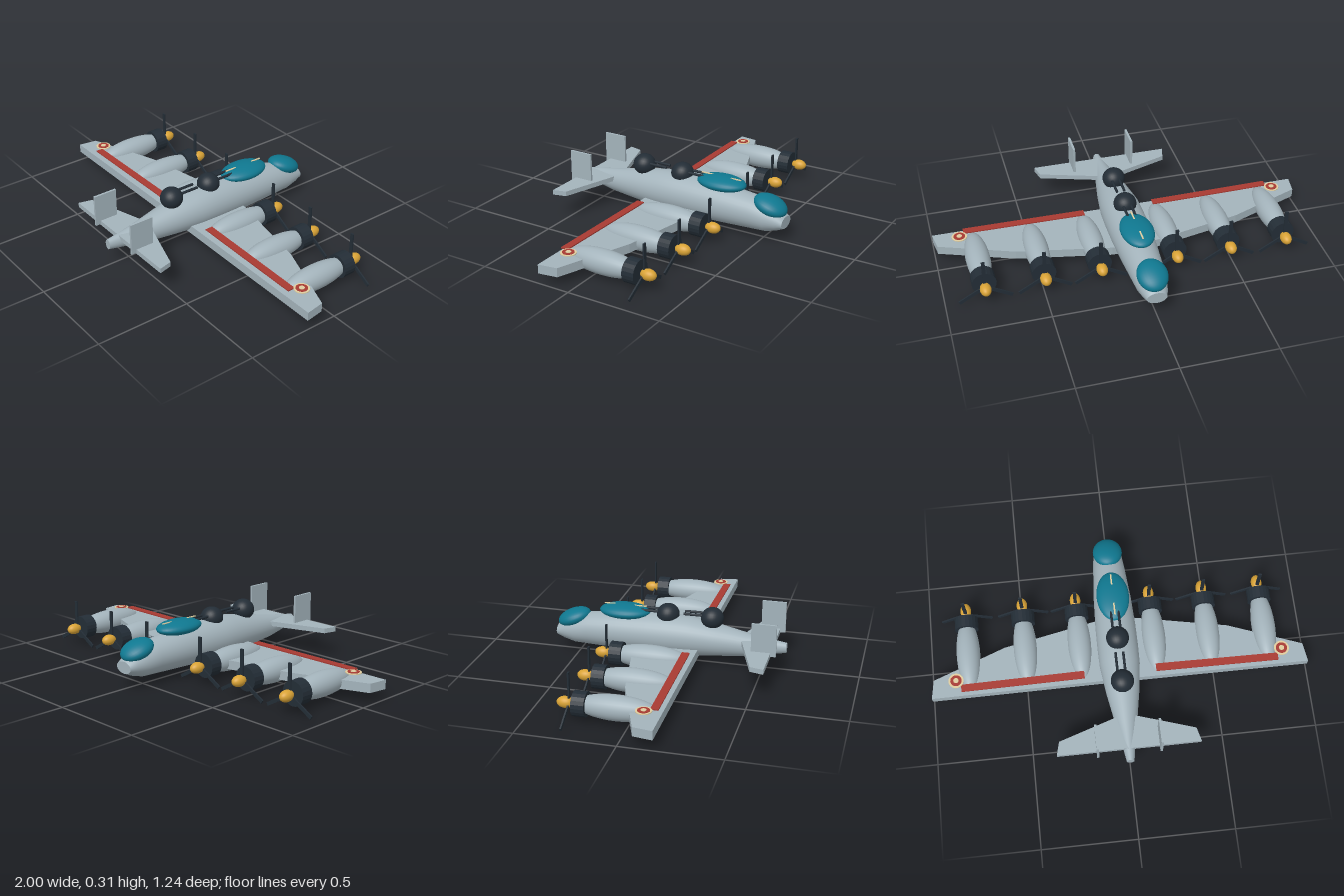
import * as THREE from 'three';

const mat = (name, color, extra = {}) => {
  const m = new THREE.MeshStandardMaterial({ color, ...extra });
  m.name = name;
  return m;
};

export function createModel() {
  const model = new THREE.Group();
  model.name = 'aircraft';
  const grey = mat('pale grey', 0xa3b3bb);
  const dark = mat('dark metal', 0x232d36);
  const darkFlat = dark;
  const teal = mat('teal glass', 0x0f7890);
  const red = mat('red paint', 0xa83a32);
  const gold = mat('gold spinner', 0xd9a336);
  const cream = mat('cream paint', 0xdfcda0);

  const add = (name, geo, material, x = 0, y = 0, z = 0, parent = model) => {
    const mesh = new THREE.Mesh(geo, material);
    mesh.name = name;
    mesh.position.set(x, y, z);
    parent.add(mesh);
    return mesh;
  };
  const ellipsoid = (rx, ry, rz) => new THREE.SphereGeometry(1, 28, 18).rotateX(Math.PI / 2).scale(rx, ry, rz);
  const box = (w, h, d) => new THREE.BoxGeometry(w, h, d);

  // Flat slab from an [x, z] outline, rising from y = 0
  const slab = (pts, height) => {
    const shape = new THREE.Shape(pts.map(([x, z]) => new THREE.Vector2(x, -z)));
    return new THREE.ExtrudeGeometry(shape, { depth: height, bevelEnabled: false }).rotateX(-Math.PI / 2);
  };
  const mirrored = (half) => [...half, ...half.slice().reverse().map(([x, z]) => [-x, z])];

  // Fuselage: elliptical sections [z, bottom, top, half width] from tail to nose
  const sections = [
    [0.62, 0.1, 0.155, 0.02], [0.52, 0.082, 0.17, 0.036], [0.41, 0.063, 0.188, 0.058],
    [0.25, 0.05, 0.222, 0.087], [0.1, 0.038, 0.248, 0.106], [0, 0.035, 0.252, 0.108],
    [-0.12, 0.036, 0.25, 0.107], [-0.28, 0.04, 0.24, 0.1], [-0.44, 0.045, 0.222, 0.087],
    [-0.52, 0.048, 0.2, 0.079], [-0.58, 0.065, 0.175, 0.066], [-0.62, 0.083, 0.145, 0.052],
  ];
  const last = sections.length - 1;
  const hull = new THREE.CylinderGeometry(1, 1, 1, 32, last).rotateX(Math.PI / 2);
  const p = hull.attributes.position;
  for (let i = 0; i < p.count; i++) {
    const [z, low, high, half] = sections[Math.round((0.5 - p.getZ(i)) * last)];
    p.setXYZ(i, p.getX(i) * half, (low + high) / 2 + p.getY(i) * (high - low) / 2, z);
  }
  hull.computeVertexNormals();
  add('fuselage', hull, grey);

  // Wing, tailplane and twin fins
  add('wing', slab(mirrored([[0.11, -0.172], [0.6, -0.075], [0.985, 0.07], [1, 0.17], [0.11, 0.167]]), 0.047), grey, 0, 0.057, 0);
  add('tailplane', slab(mirrored([[0.05, 0.39], [0.355, 0.488], [0.373, 0.56], [0.05, 0.56]]), 0.026), grey, 0, 0.138, 0);

  // Glazing with a thin centre frame
  const noseGlass = add('noseGlass', ellipsoid(0.079, 0.045, 0.092), teal, 0, 0.189, -0.532);
  noseGlass.rotation.x = -0.35;
  add('canopy', ellipsoid(0.086, 0.038, 0.137), teal, 0, 0.252, -0.248);
  add('canopyFrame', box(0.008, 0.004, 0.23), cream, 0, 0.285, -0.245);

  // Dorsal turrets with paired guns
  for (const z of [-0.012, 0.225]) {
    const turret = new THREE.Group();
    turret.name = 'turret';
    turret.position.set(0, 0.255, z);
    model.add(turret);
    add('turretDome', ellipsoid(0.06, 0.057, 0.06), dark, 0, 0, 0, turret);
    for (const x of [-0.02, 0.02]) {
      add('gunBarrel', new THREE.CylinderGeometry(0.007, 0.007, 0.12, 10).rotateX(Math.PI / 2), dark, x, 0.016, -0.09, turret);
    }
  }

  // Engine: nacelle, cowling, spinner and three blades
  const makeEngine = (x) => {
    const engine = new THREE.Group();
    engine.name = 'engine';
    engine.position.set(x, 0.09, 0);
    model.add(engine);
    add('nacelle', ellipsoid(0.063, 0.063, 0.205), grey, 0, 0, -0.06, engine);
    const cowling = new THREE.CylinderGeometry(0.063, 0.063, 0.065, 20).toNonIndexed();
    cowling.computeVertexNormals();
    add('cowling', cowling.rotateX(Math.PI / 2), darkFlat, 0, 0, -0.235, engine);
    add('spinner', ellipsoid(0.029, 0.029, 0.042), gold, 0, 0, -0.312, engine);
    for (let i = 0; i < 3; i++) {
      const blade = add('propellerBlade', box(0.018, 0.156, 0.008).translate(0, 0.078, 0), dark, 0, 0, -0.292, engine);
      blade.rotation.z = i * Math.PI * 2 / 3;
    }
  };

  for (const side of [-1, 1]) {
    for (const x of [0.2, 0.49, 0.795]) makeEngine(side * x);

    add('tailFin', box(0.012, 0.17, 0.128), grey, side * 0.163, 0.229, 0.524);

    // Red trailing-edge band
    const band = [[0.19, 0.108], [0.84, 0.116], [0.84, 0.155], [0.19, 0.149]].map(([x, z]) => [side * x, z]);
    add('wingBand', slab(band, 0.006), red, 0, 0.124, 0);

    // Wing-tip roundel as stacked discs
    [[0.04, cream], [0.03, red], [0.014, cream]].forEach(([r, m], i) => {
      add('roundelDisc', new THREE.CylinderGeometry(r, r, 0.004, 28), m, side * 0.865, 0.129 + i * 0.002, 0.092);
    });
  }
  return model;
}
